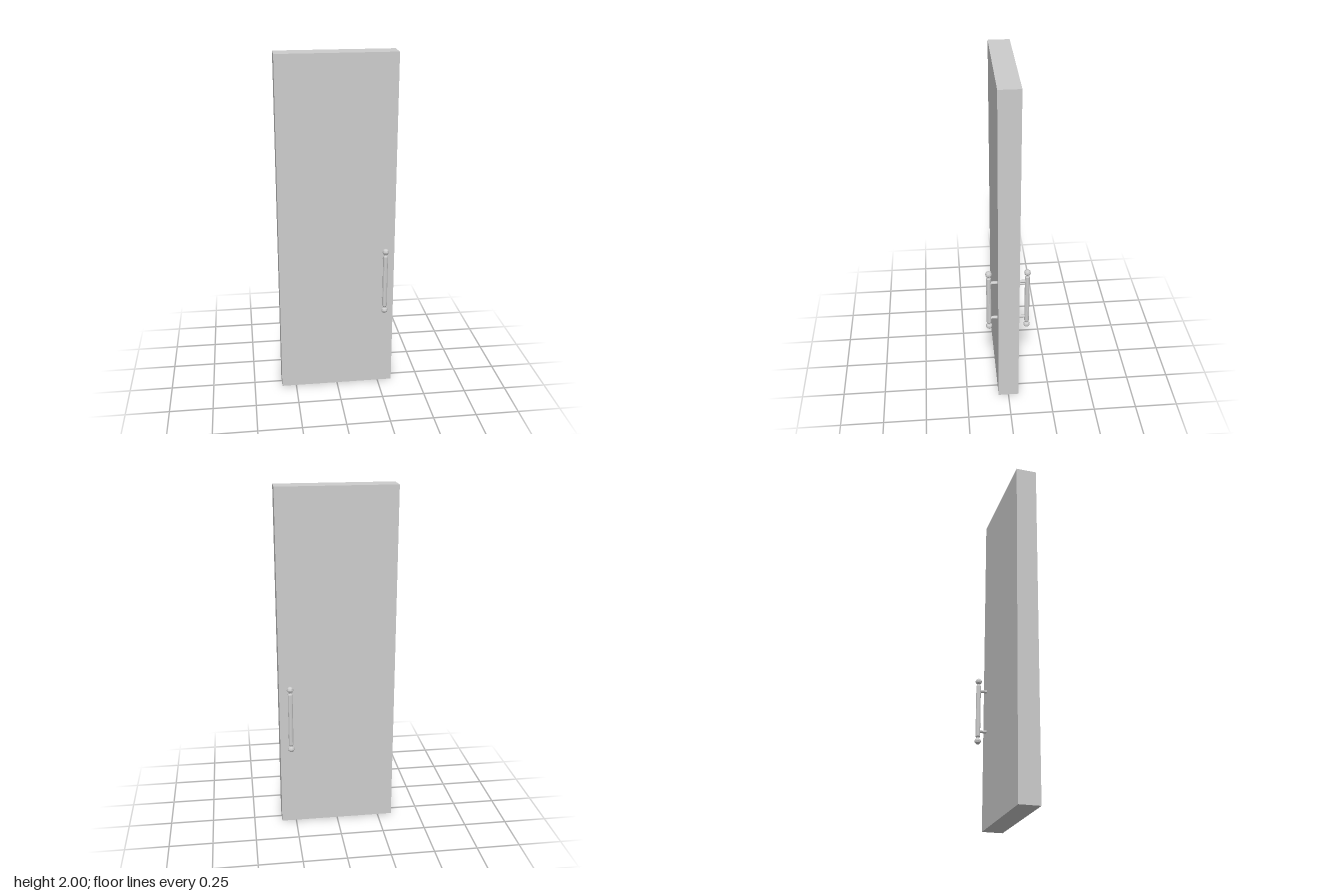
import * as THREE from 'three';

export function createModel() {
  const model = new THREE.Group();
  model.name = 'door';
  const grey = new THREE.MeshStandardMaterial({ color: 0xcccccc });
  grey.name = 'light grey';
  grey.flatShading = true;

  const add = (parent, name, geometry, x, y, z) => {
    const mesh = new THREE.Mesh(geometry, grey);
    mesh.name = name;
    mesh.position.set(x, y, z);
    parent.add(mesh);
    return mesh;
  };

  // Door slab
  add(model, 'doorPanel', new THREE.BoxGeometry(0.67, 2, 0.12), 0, 1, 0);

  // Upright grip with narrowed ends that run into the ball finials
  const gripProfile = [
    [0, -0.18], [0.009, -0.18], [0.009, -0.163], [0.014, -0.156],
    [0.014, 0.156], [0.009, 0.163], [0.009, 0.18], [0, 0.18],
  ].map(([r, y]) => new THREE.Vector2(r, y));
  const gripGeometry = new THREE.LatheGeometry(gripProfile, 10);
  const ballGeometry = new THREE.SphereGeometry(0.019, 10, 6);
  const postGeometry = new THREE.CylinderGeometry(0.009, 0.009, 0.05, 10);

  // One pull handle on each face
  for (const side of [1, -1]) {
    const handle = new THREE.Group();
    handle.name = side > 0 ? 'frontHandle' : 'backHandle';
    handle.position.set(0.275, 0.69, 0);
    model.add(handle);
    add(handle, 'grip', gripGeometry, 0, 0, side * 0.109);
    for (const end of [1, -1]) {
      add(handle, 'ballFinial', ballGeometry, 0, end * 0.185, side * 0.109);
      const post = add(handle, 'mountingPost', postGeometry, 0, end * 0.125, side * 0.084);
      post.rotation.x = Math.PI / 2;
    }
  }
  return model;
}
